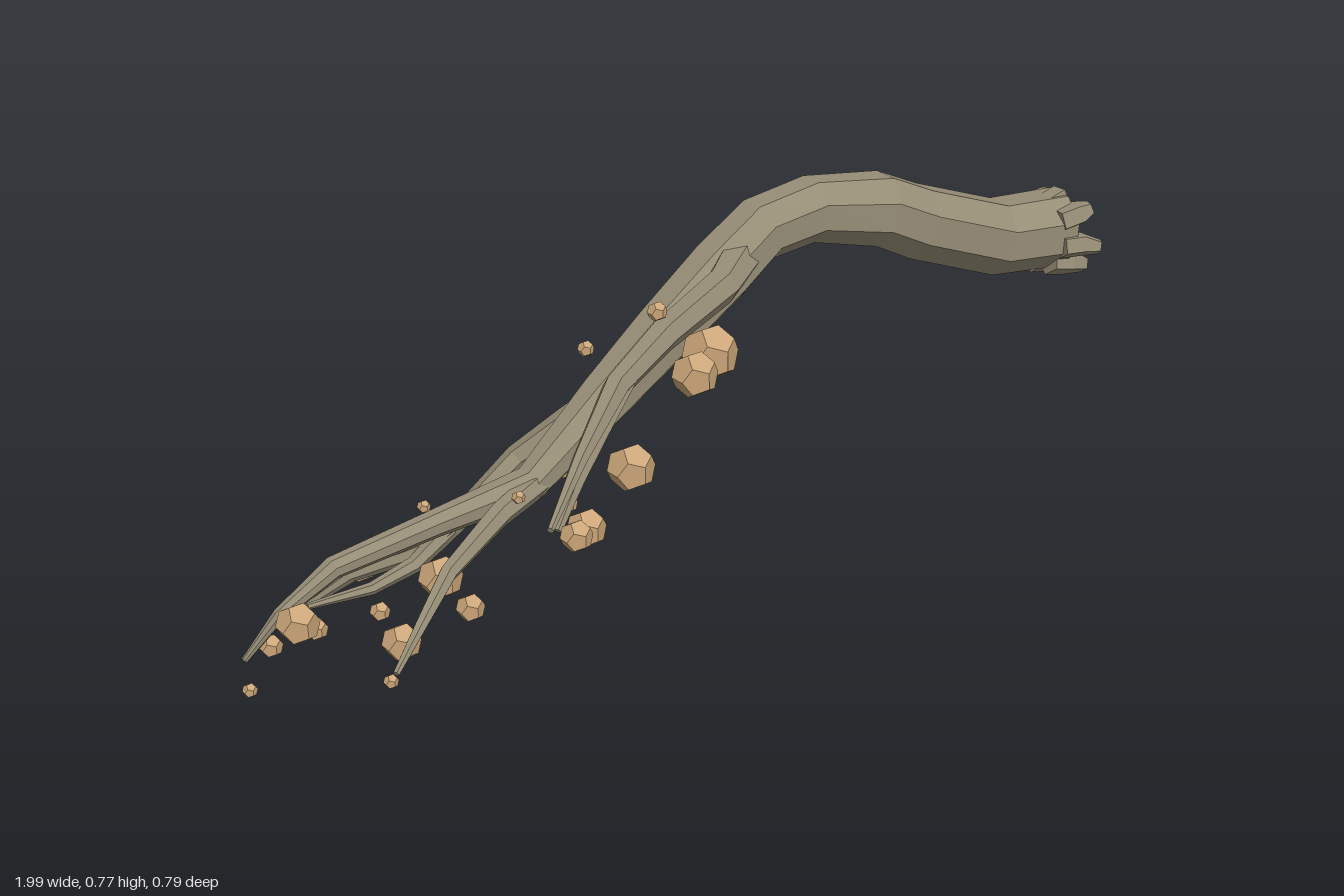
import * as THREE from 'three';

const V = (a) => new THREE.Vector3(a[0], a[1], a[2]);

// Faceted limb: rings of `sides` corners along points [x, y, z, radius], capped at both ends
function limb(points, sides) {
  const p = points.map(V);
  const rings = [];
  let normal = new THREE.Vector3(0, 1, 0);
  p.forEach((c, k) => {
    const t = p[Math.min(k + 1, p.length - 1)].clone().sub(p[Math.max(k - 1, 0)]).normalize();
    normal = normal.clone().addScaledVector(t, -normal.dot(t)).normalize();
    const side = t.clone().cross(normal);
    const ring = [];
    for (let i = 0; i < sides; i++) {
      const a = ((i + 0.5) / sides) * Math.PI * 2;
      ring.push(c.clone()
        .addScaledVector(normal, Math.cos(a) * points[k][3])
        .addScaledVector(side, Math.sin(a) * points[k][3]));
    }
    rings.push(ring);
  });
  const out = [];
  const tri = (...corners) => corners.forEach((v) => out.push(v.x, v.y, v.z));
  const last = p.length - 1;
  for (let i = 0; i < sides; i++) {
    const j = (i + 1) % sides;
    for (let k = 0; k < last; k++) {
      tri(rings[k][i], rings[k][j], rings[k + 1][j]);
      tri(rings[k][i], rings[k + 1][j], rings[k + 1][i]);
    }
    tri(p[0], rings[0][j], rings[0][i]);
    tri(p[last], rings[last][i], rings[last][j]);
  }
  const g = new THREE.BufferGeometry();
  g.setAttribute('position', new THREE.Float32BufferAttribute(out, 3));
  g.computeVertexNormals();
  return g;
}

export function createModel() {
  const bark = new THREE.MeshStandardMaterial({ color: 0x968d76, flatShading: true });
  bark.name = 'bark';
  const fruit = new THREE.MeshStandardMaterial({ color: 0xcaa679, flatShading: true });
  fruit.name = 'berry tan';

  const model = new THREE.Group();
  model.name = 'brokenBranch';
  const add = (name, geometry, material, parent = model) => {
    const m = new THREE.Mesh(geometry, material);
    m.name = name;
    parent.add(m);
    return m;
  };

  // Main stem, from the broken end to the far tip
  add('mainStem', limb([
    [0.915, 0.555, -0.015, 0.083], [0.75, 0.565, -0.04, 0.08], [0.54, 0.642, -0.058, 0.077],
    [0.45, 0.685, -0.07, 0.075], [0.29, 0.714, -0.09, 0.065], [0.17, 0.7, -0.095, 0.063],
    [0.07, 0.64, -0.092, 0.066], [-0.08, 0.55, -0.083, 0.06], [-0.22, 0.465, -0.073, 0.051],
    [-0.4, 0.358, -0.055, 0.035], [-0.6, 0.353, -0.045, 0.025], [-0.81, 0.343, -0.035, 0.02],
    [-0.91, 0.285, -0.045, 0.012], [-0.97, 0.21, -0.067, 0.006],
  ], 8), bark);

  // Side branches and their forks
  const branches = {
    upperBranch: [[0.1, 0.665, -0.07, 0.04], [0, 0.655, 0, 0.034], [-0.2, 0.64, 0.085, 0.029],
      [-0.37, 0.622, 0.175, 0.023], [-0.53, 0.585, 0.295, 0.013], [-0.65, 0.535, 0.382, 0.006]],
    upperFork: [[-0.34, 0.625, 0.16, 0.023], [-0.44, 0.575, 0.22, 0.018],
      [-0.51, 0.525, 0.255, 0.014], [-0.57, 0.465, 0.283, 0.008]],
    middleBranch: [[-0.38, 0.36, -0.05, 0.026], [-0.5, 0.353, 0, 0.022],
      [-0.66, 0.332, 0.085, 0.016], [-0.75, 0.29, 0.14, 0.011], [-0.825, 0.247, 0.181, 0.006]],
    lowerBranch: [[-0.18, 0.465, -0.085, 0.036], [-0.26, 0.41, -0.13, 0.031],
      [-0.34, 0.345, -0.18, 0.026], [-0.52, 0.205, -0.21, 0.019],
      [-0.63, 0.14, -0.315, 0.013], [-0.71, 0.055, -0.393, 0.006]],
    lowerFork: [[-0.48, 0.235, -0.203, 0.02], [-0.56, 0.185, -0.205, 0.016],
      [-0.65, 0.168, -0.205, 0.012], [-0.77, 0.166, -0.225, 0.006]],
  };
  for (const [name, points] of Object.entries(branches)) add(name, limb(points, 6), bark);

  // Splinters round the broken end: [angle from top, tip x, tip radius, width]
  const splinters = new THREE.Group();
  splinters.name = 'brokenEnd';
  model.add(splinters);
  const teeth = [
    [0, 0.93, 0.08, 0.026], [48, 0.945, 0.092, 0.028], [103, 0.95, 0.103, 0.026],
    [155, 0.965, 0.096, 0.031], [195, 0.99, 0.104, 0.034], [268, 0.955, 0.094, 0.028],
    [312, 0.95, 0.09, 0.028],
  ];
  for (const [deg, tipX, tipR, w] of teeth) {
    const a = THREE.MathUtils.degToRad(deg);
    const at = (x, r, width) => [x, 0.552 + Math.cos(a) * r, -0.01 + Math.sin(a) * r, width];
    add('splinter', limb([at(0.87, 0.058, w), at(0.92, 0.07, w), at(tipX, tipR - 0.008, w * 0.6)], 5),
      bark, splinters);
  }

  // Berries: [x, y, z, radius]
  const berries = new THREE.Group();
  berries.name = 'berries';
  model.add(berries);
  const spots = [
    [-0.22, 0.694, 0.095, 0.018], [-0.253, 0.635, 0.24, 0.041], [-0.437, 0.545, 0.305, 0.041],
    [-0.595, 0.502, 0.372, 0.027], [-0.507, 0.445, 0.274, 0.034], [-0.665, 0.572, 0.32, 0.011],
    [-0.055, 0.55, 0.035, 0.054], [-0.205, 0.54, -0.143, 0.016], [0, 0.49, -0.097, 0.018],
    [-0.39, 0.36, 0.05, 0.019], [-0.66, 0.295, 0.15, 0.025], [-0.82, 0.217, 0.153, 0.013],
    [-0.755, 0.232, 0.08, 0.034], [-0.905, 0.292, 0.01, 0.037], [-0.58, 0.222, -0.078, 0.041],
    [-0.265, 0.326, -0.152, 0.041], [-0.515, 0.279, -0.233, 0.013], [-0.985, 0.177, -0.027, 0.013],
    [-0.655, 0.137, -0.172, 0.019], [-0.767, 0.127, -0.29, 0.013], [-0.59, 0.123, -0.355, 0.029],
    [-0.69, 0.024, -0.362, 0.023], [-0.915, 0.21, -0.08, 0.021],
  ];
  const berry = new THREE.DodecahedronGeometry(1);
  for (const [x, y, z, r] of spots) {
    const m = add('berry', berry, fruit, berries);
    m.position.set(x, y, z);
    m.scale.setScalar(r);
  }
  return model;
}
